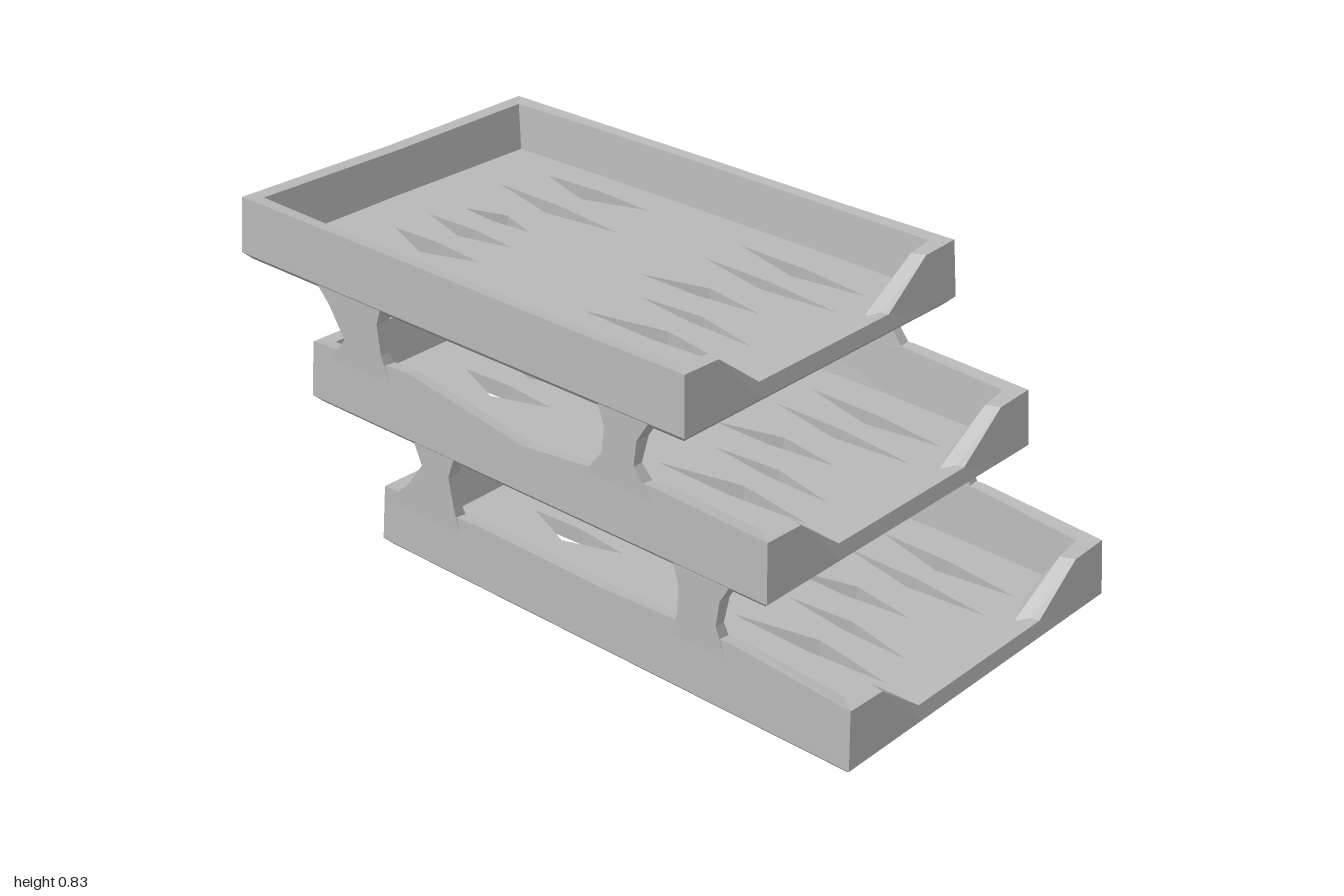
import * as THREE from 'three';

const grey = new THREE.MeshStandardMaterial({ color: 0xb8b8b8, flatShading: true });
grey.name = 'grey plastic';

const HW = 0.502, HL = 0.757;   // half width and half length of a tray
const FLOOR = 0.045;            // floor thickness

// Skins a series of equal-length cross-sections with flat quads.
function loft(rings, closeRings, closePoints) {
  const pos = [];
  const n = rings.length, m = rings[0].length;
  for (let i = 0; i < (closeRings ? n : n - 1); i++) {
    for (let j = 0; j < (closePoints ? m : m - 1); j++) {
      const r = rings[i], s = rings[(i + 1) % n], k = (j + 1) % m;
      pos.push(...r[j], ...r[k], ...s[k], ...r[j], ...s[k], ...s[j]);
    }
  }
  const g = new THREE.BufferGeometry();
  g.setAttribute('position', new THREE.Float32BufferAttribute(pos, 3));
  g.computeVertexNormals();
  return g;
}

function mesh(name, geometry) {
  const m = new THREE.Mesh(geometry, grey);
  m.name = name;
  return m;
}

// Floor slots: back tip x, z, front tip x, z, and x of the wide side.
const slots = [
  [-0.31, -0.63, -0.35, -0.19, -0.36], [-0.17, -0.54, -0.18, -0.22, -0.235],
  [-0.05, -0.54, -0.06, -0.22, -0.1], [0.04, -0.5, 0.04, -0.26, 0.08],
  [0.22, -0.55, 0.19, -0.09, 0.16], [0.35, -0.5, 0.35, -0.13, 0.29],
  [-0.31, 0.2, -0.34, 0.63, -0.3], [-0.21, 0.17, -0.2, 0.63, -0.16],
  [-0.06, 0.22, -0.09, 0.6, -0.045], [0.04, 0.13, 0.06, 0.5, 0.09],
  [0.22, 0.18, 0.19, 0.63, 0.17], [0.34, 0.2, 0.31, 0.63, 0.28],
];

function floorGeometry() {
  const x = HW - 0.02, z = HL - 0.02;
  const shape = new THREE.Shape([[-x, -z], [x, -z], [x, z], [-x, z]].map(p => new THREE.Vector2(...p)));
  for (const [x0, z0, x1, z1, xb] of slots) {
    const mid = (z0 + z1) / 2, xm = (x0 + x1) / 2;
    const other = xm - Math.sign(xb - xm) * 0.012;
    shape.holes.push(new THREE.Path([[x0, z0], [xb, mid], [x1, z1], [other, mid]].map(p => new THREE.Vector2(...p))));
  }
  return new THREE.ExtrudeGeometry(shape, { depth: FLOOR, bevelEnabled: false })
    .rotateX(Math.PI / 2).translate(0, FLOOR, 0);
}

// Rim: tapered wall carried around the floor, dipping at the front.
function rimGeometry(sideTops) {
  // outer x, z | inner top x, z | inner foot x, z | top height
  const half = [
    [0, -HL, 0, -0.712, 0, -0.695, 0.166],
    [HW, -HL, 0.455, -0.71, 0.44, -0.69, 0.172],
    [HW, -0.4, 0.462, -0.4, 0.445, -0.4, sideTops[0]],
    [HW, 0, 0.462, 0, 0.445, 0, sideTops[1]],
    [HW, 0.4, 0.462, 0.4, 0.445, 0.4, sideTops[2]],
    [HW, HL, 0.455, 0.7, 0.44, 0.62, 0.172],
    [0.38, HL, 0.37, 0.71, 0.32, 0.65, 0.168],
    [0.24, HL, 0.24, 0.725, 0.22, 0.69, 0.06],
  ];
  const mirrored = half.slice(1).reverse().map(([a, b, c, d, e, f, h]) => [-a, b, -c, d, -e, f, h]);
  const rings = [...half, ...mirrored].map(([ox, oz, ix, iz, fx, fz, h]) => {
    const edge = (inset) => [
      Math.sign(ox) * Math.min(Math.abs(ox), HW - inset),
      Math.sign(oz) * Math.min(Math.abs(oz), HL - inset)];
    const [bx, bz] = edge(0.02), [tx, tz] = edge(0.008);
    return [[bx, 0, bz], [ox, 0.02, oz], [tx, h, tz], [ix, h - 0.003, iz], [fx, FLOOR - 0.003, fz]];
  });
  return loft(rings, true, false);
}

// Post: rows of y, back z, front z, inner x, rising between two trays.
function postGeometry(rows, side) {
  const rings = rows.map(([y, zb, zf, xi]) => {
    const xo = 0.496;
    const ring = [[xo, zf], [xo, zb], [xi, zb], [xi, zf]].map(([x, z]) => [x * side, y, z]);
    return side > 0 ? ring : ring.reverse();
  });
  return loft(rings, false, true);
}

const trays = [
  { name: 'bottomTray', y: 0.005, z: 0.243, sides: [0.185, 0.18, 0.198] },
  { name: 'middleTray', y: 0.333, z: 0, sides: [0.2, 0.14, 0.185] },
  { name: 'topTray', y: 0.66, z: -0.243, sides: [0.172, 0.172, 0.17] },
];

const posts = {
  lowerFrontPost: [[0.14, 0.47, 0.64, 0.46], [0.23, 0.49, 0.605, 0.468], [0.3, 0.49, 0.615, 0.46], [0.36, 0.47, 0.65, 0.44]],
  lowerRearPost: [[0.14, -0.5, -0.23, 0.46], [0.21, -0.42, -0.25, 0.468], [0.29, -0.36, -0.265, 0.46], [0.36, -0.39, -0.24, 0.44]],
  upperFrontPost: [[0.48, 0.2, 0.41, 0.46], [0.55, 0.255, 0.355, 0.468], [0.62, 0.265, 0.365, 0.455], [0.69, 0.24, 0.41, 0.44]],
  upperRearPost: [[0.48, -0.68, -0.46, 0.46], [0.55, -0.625, -0.49, 0.468], [0.63, -0.675, -0.5, 0.455], [0.69, -0.73, -0.48, 0.44]],
};

export function createModel() {
  const model = new THREE.Group();
  model.name = 'stackedLetterTrays';
  for (const { name, y, z, sides } of trays) {
    const tray = new THREE.Group();
    tray.name = name;
    tray.add(mesh('slottedFloor', floorGeometry()), mesh('rim', rimGeometry(sides)));
    tray.position.set(0, y, z);
    model.add(tray);
  }
  for (const [name, rows] of Object.entries(posts)) {
    model.add(mesh(name + 'Left', postGeometry(rows, 1)), mesh(name + 'Right', postGeometry(rows, -1)));
  }
  return model;
}
